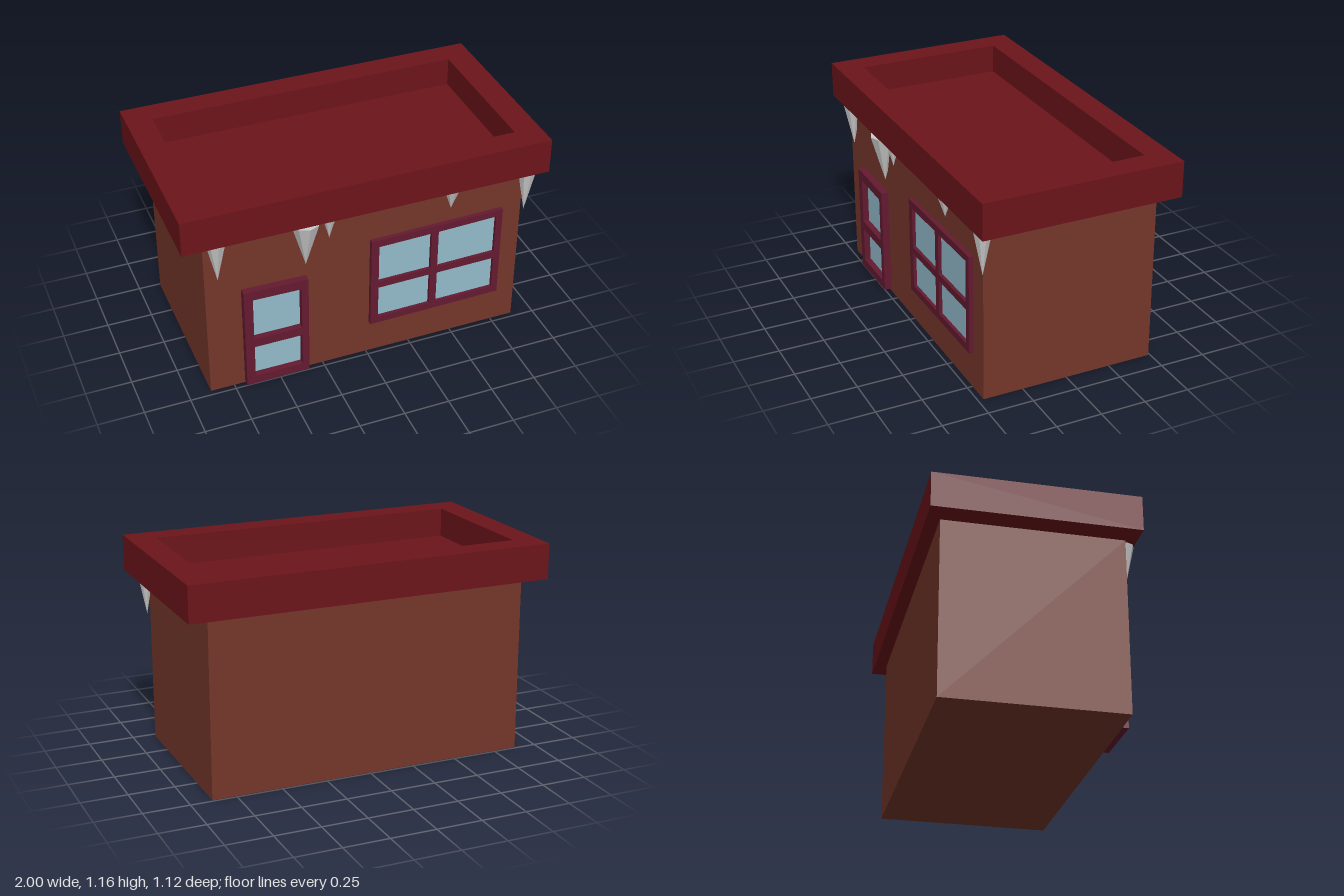
import * as THREE from 'three';

const mat = (color) => new THREE.MeshStandardMaterial({ color, flatShading: true });

// Closed polygon from [x, y] corners
function outline(points, Type = THREE.Shape) {
  return new Type(points.map(([x, y]) => new THREE.Vector2(x, y)));
}

const rect = (x0, y0, x1, y1) => [[x0, y0], [x1, y0], [x1, y1], [x0, y1]];

function extrude(corners, holes, depth) {
  const shape = outline(corners);
  shape.holes = holes.map((h) => outline([...h].reverse(), THREE.Path));
  return new THREE.ExtrudeGeometry(shape, { depth, bevelEnabled: false });
}

export function createModel() {
  const model = new THREE.Group();
  const brick = mat(0x75372a);
  const red = mat(0x6c141a);
  const plum = mat(0x641a30);
  const glass = mat(0x93bccb);
  const ice = mat(0xcccccc);

  const add = (name, geometry, material, x = 0, y = 0, z = 0, parent = model) => {
    const mesh = new THREE.Mesh(geometry, material);
    mesh.name = name;
    mesh.position.set(x, y, z);
    parent.add(mesh);
    return mesh;
  };

  // Walls
  add('walls', new THREE.BoxGeometry(1.76, 0.965, 0.96), brick, 0, 0.4825, -0.01);

  // Flat roof: a slab with a raised rim around a sunken floor
  const roof = new THREE.Group();
  roof.name = 'roof';
  model.add(roof);
  const rim = extrude(rect(-1, -0.53, 1, 0.56), [rect(-0.86, -0.39, 0.855, 0.42)], 0.195);
  rim.rotateX(-Math.PI / 2);
  add('roofRim', rim, red, 0, 0.965, 0, roof);
  add('roofFloor', new THREE.BoxGeometry(1.715, 0.035, 0.81), red, -0.0025, 0.9825, -0.015, roof);

  // Framed openings: slightly crooked frame with recessed panes
  const wallFront = 0.47;
  const framed = (name, corners, panes, depth) => {
    const group = new THREE.Group();
    group.name = name;
    model.add(group);
    add(name + 'Frame', extrude(corners, panes, depth), plum, 0, 0, wallFront, group);
    for (const pane of panes) {
      add(name + 'Glass', new THREE.ShapeGeometry(outline(pane)), glass, 0, 0, wallFront + 0.006, group);
    }
  };

  framed('door',
    [[-0.69, 0.01], [-0.34, 0.015], [-0.34, 0.62], [-0.69, 0.627]],
    [
      rect(-0.642, 0.062, -0.378, 0.26),
      [[-0.642, 0.312], [-0.378, 0.312], [-0.378, 0.567], [-0.642, 0.572]],
    ], 0.04);

  framed('window',
    [[0.015, 0.2], [0.765, 0.21], [0.765, 0.76], [0.015, 0.747]],
    [
      [[0.058, 0.24], [0.355, 0.244], [0.355, 0.442], [0.058, 0.437]],
      [[0.395, 0.245], [0.728, 0.25], [0.728, 0.447], [0.395, 0.442]],
      [[0.058, 0.477], [0.355, 0.481], [0.355, 0.711], [0.058, 0.705]],
      [[0.395, 0.481], [0.728, 0.488], [0.728, 0.722], [0.395, 0.712]],
    ], 0.024);

  // Icicles under the front eave: x, z, radius, length
  const icicles = [
    [-0.812, 0.482, 0.052, 0.235],
    [-0.343, 0.482, 0.076, 0.265],
    [-0.215, 0.482, 0.036, 0.13],
    [0.463, 0.482, 0.043, 0.125],
    [0.895, 0.48, 0.049, 0.245],
  ];
  for (const [x, z, radius, length] of icicles) {
    const cone = new THREE.ConeGeometry(radius, length, 8);
    cone.rotateX(Math.PI);
    add('icicle', cone, ice, x, 0.965 - length / 2, z);
  }

  return model;
}
